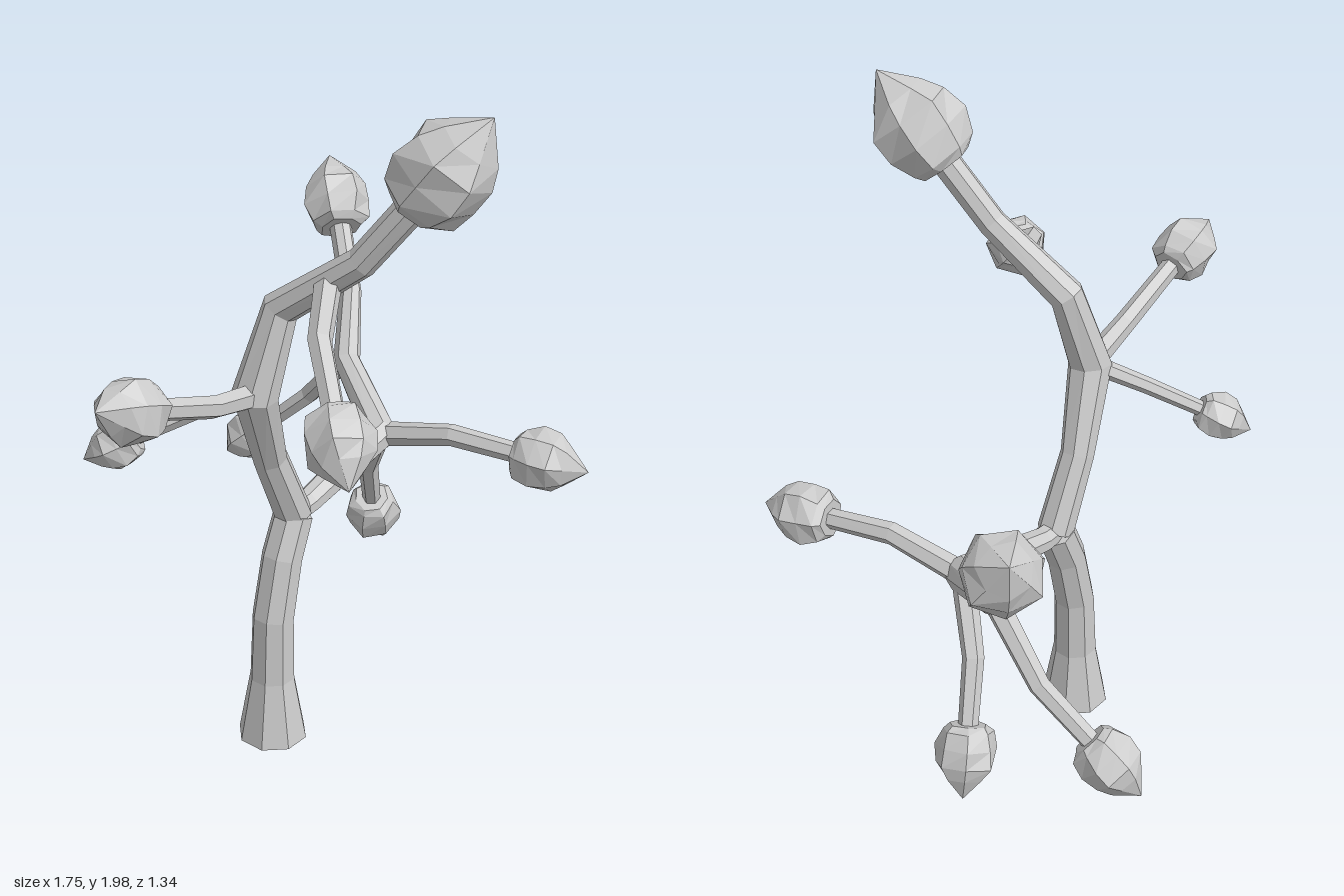
import * as THREE from 'three';

const material = new THREE.MeshStandardMaterial({ color: 0xcccccc, flatShading: true });
const vec = (x, y, z) => new THREE.Vector3(x, y, z);

// Faceted sweep along points; rings stand square to the path, ends are capped.
function sweep(name, points, radii, sides, wobble = 0) {
  const last = points.length - 1;
  const positions = [];
  const indices = [];
  const normal = vec(0, 0, 1);
  points.forEach((p, i) => {
    const tangent = vec(0, 0, 0);
    if (i > 0) tangent.add(p.clone().sub(points[i - 1]).normalize());
    if (i < last) tangent.add(points[i + 1].clone().sub(p).normalize());
    tangent.normalize();
    if (i === 0 && Math.abs(tangent.z) > 0.7) normal.set(0, 1, 0);
    normal.addScaledVector(tangent, -normal.dot(tangent)).normalize();
    const side = tangent.clone().cross(normal);
    for (let k = 0; k < sides; k++) {
      const a = ((k + 0.5) / sides) * Math.PI * 2;
      const r = radii[i] * (1 + wobble * Math.sin(k * 2.7 + i * 1.9));
      const v = p.clone().addScaledVector(normal, Math.cos(a) * r).addScaledVector(side, Math.sin(a) * r);
      positions.push(v.x, v.y, v.z);
    }
  });
  for (let i = 0; i < last; i++) {
    for (let k = 0; k < sides; k++) {
      const a = i * sides + k;
      const b = i * sides + ((k + 1) % sides);
      indices.push(a, b, b + sides, a, b + sides, a + sides);
    }
  }
  const top = last * sides;
  for (let k = 1; k < sides - 1; k++) indices.push(0, k + 1, k, top, top + k, top + k + 1);
  const indexed = new THREE.BufferGeometry();
  indexed.setAttribute('position', new THREE.Float32BufferAttribute(positions, 3));
  indexed.setIndex(indices);
  const geometry = indexed.toNonIndexed();
  geometry.computeVertexNormals();
  const mesh = new THREE.Mesh(geometry, material);
  mesh.name = name;
  return mesh;
}

// Branch whose last point leads to a pointed bud; the bud's length follows from its radius.
function buddedBranch(name, points, radii, tip, budRadius, sides) {
  const heading = tip.clone().sub(points[points.length - 1]).normalize();
  const budLength = budRadius * 2.45;
  const base = tip.clone().addScaledVector(heading, -budLength);
  const along = [0, 0.08, 0.3, 0.54, 0.72, 1];
  const widths = [0.62, 0.84, 1, 0.97, 0.66, 0.01];
  const group = new THREE.Group();
  group.name = name;
  group.add(
    sweep('branch', [...points, base], [...radii, budRadius * 0.33], sides),
    sweep('bud', along.map((t) => base.clone().lerp(tip, t)), widths.map((w) => w * budRadius), 7, 0.07),
  );
  return group;
}

// Twig growing from a limb at a (fractional) joint, through one bend, to its bud
function twig(name, limb, joint, bend, tip, budRadius) {
  const i = Math.floor(joint);
  const start = limb[i].clone().lerp(limb[i + 1], joint - i);
  return buddedBranch(name, [start, bend], [budRadius * 0.41, budRadius * 0.36], tip, budRadius, 6);
}

export function createModel() {
  const model = new THREE.Group();
  model.name = 'bareTree';

  // Trunk with flared foot
  const fork = vec(-0.05, 0.7, 0.04);
  const trunk = [vec(-0.145, 0, 0.04), vec(-0.145, 0.2, 0.04), vec(-0.14, 0.4, 0.04), vec(-0.1, 0.58, 0.04), fork];
  model.add(sweep('trunk', trunk, [0.103, 0.067, 0.062, 0.06, 0.058], 8));

  // Two main limbs
  const left = [fork, vec(-0.15, 0.92, 0.04), vec(-0.255, 1.16, 0.08), vec(-0.19, 1.4, 0.115), vec(-0.14, 1.57, 0.34)];
  const right = [fork, vec(0.02, 0.705, 0.035), vec(0.36, 0.79, 0.03), vec(0.5, 0.91, -0.21), vec(0.615, 1.08, -0.29)];
  model.add(
    buddedBranch('highLimb', left, [0.055, 0.05, 0.065, 0.052, 0.042], vec(-0.02, 1.98, 0.64), 0.128, 8),
    buddedBranch('sideLimb', right, [0.035, 0.038, 0.055, 0.042, 0.034], vec(0.84, 1.4, -0.56), 0.105, 8),
  );

  // Three twigs on each limb
  model.add(
    twig('highSideTwig', left, 2, vec(-0.44, 1.2, 0.1), vec(-0.875, 1.355, 0.12), 0.088),
    twig('highBackTwig', left, 2, vec(-0.34, 1.1, -0.06), vec(-0.53, 0.95, -0.3), 0.068),
    twig('highFrontTwig', left, 3.6, vec(-0.34, 1.43, 0.37), vec(-0.57, 1.2, 0.65), 0.09),
    twig('sideFrontTwig', right, 2, vec(0.4, 0.845, 0.26), vec(0.5, 0.82, 0.665), 0.09),
    twig('sideLowerTwig', right, 2, vec(0.45, 0.61, -0.08), vec(0.62, 0.265, -0.18), 0.086),
    twig('sideBackTwig', right, 3, vec(0.525, 0.73, -0.38), vec(0.455, 0.46, -0.67), 0.084),
  );
  return model;
}
